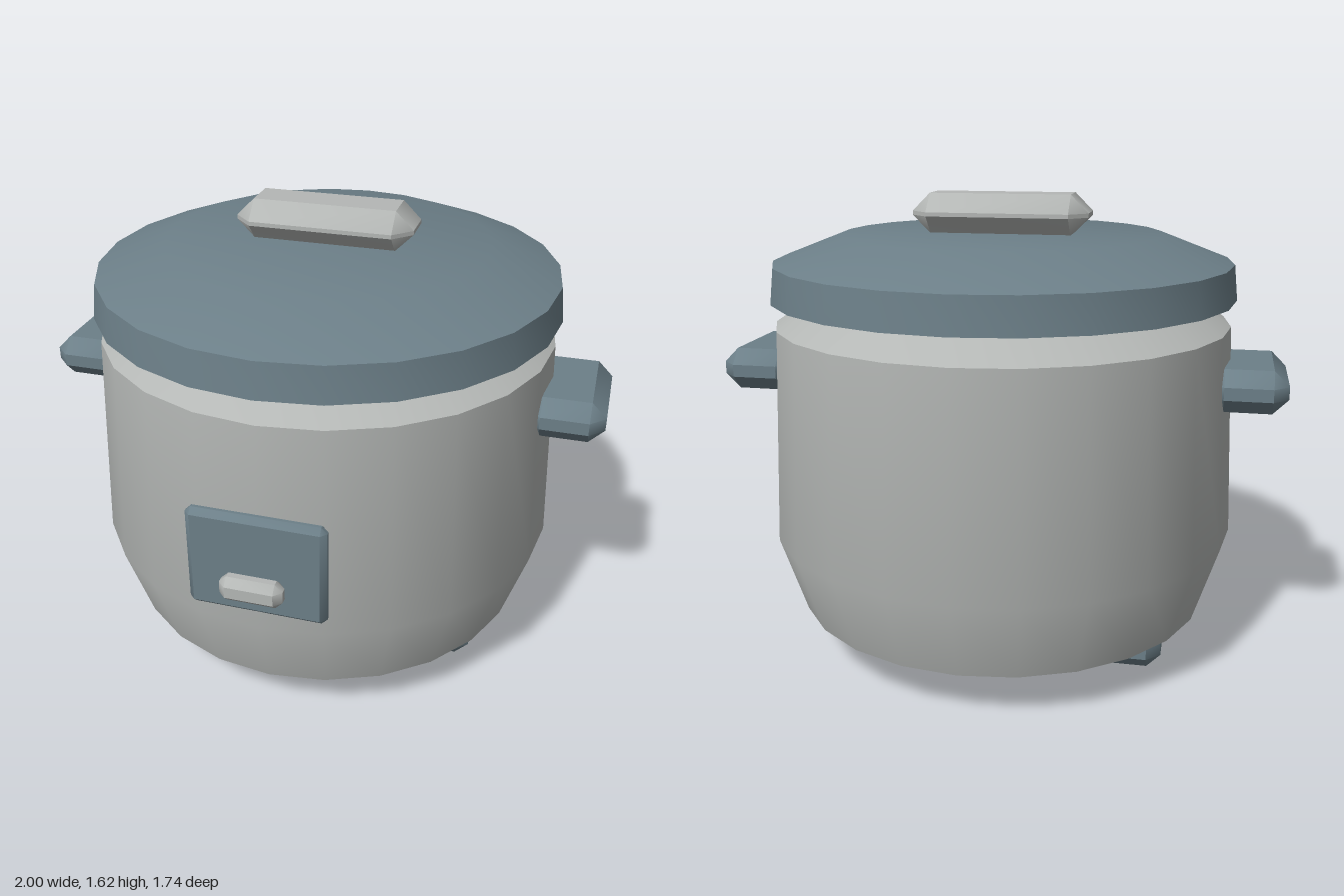
import * as THREE from 'three';
import { toCreasedNormals } from 'three/addons/utils/BufferGeometryUtils.js';
import { ConvexGeometry } from 'three/addons/geometries/ConvexGeometry.js';

const CENTRE_Z = -0.04;
const shell = new THREE.MeshStandardMaterial({ color: 0xcccccc });
shell.color.set(0xb4b7b5);
const trim = new THREE.MeshStandardMaterial({ color: 0x6c7f88 });

// Turned part with 24 sides, smooth apart from its sharp rims
function turned(name, profile, material) {
  const points = profile.map(([r, y]) => new THREE.Vector2(r, y));
  const mesh = new THREE.Mesh(toCreasedNormals(new THREE.LatheGeometry(points, 24), 0.6), material);
  mesh.name = name;
  mesh.position.z = CENTRE_Z;
  return mesh;
}

// Box with every edge cut by a bevel, given by its two opposite corners
function bevelledBox(name, min, max, bevel, material) {
  const half = max.map((m, i) => (m - min[i]) / 2);
  const points = [];
  for (let axis = 0; axis < 3; axis++) {
    for (const sx of [-1, 1]) for (const sy of [-1, 1]) for (const sz of [-1, 1]) {
      const c = [sx, sy, sz].map((s, i) => s * (half[i] - (i === axis ? 0 : bevel)));
      points.push(new THREE.Vector3(...c));
    }
  }
  const mesh = new THREE.Mesh(toCreasedNormals(new ConvexGeometry(points), 0.7), material);
  mesh.name = name;
  mesh.position.set(...max.map((m, i) => (m + min[i]) / 2));
  return mesh;
}

export function createModel() {
  const model = new THREE.Group();
  model.name = 'riceCooker';

  // Pot with tapered base and sloping shoulder
  model.add(turned('body', [
    [0, 0.163], [0.74, 0.163], [0.83, 0.44], [0.8, 1.18], [0.66, 1.275], [0.6, 1.3],
  ], shell));

  // Overhanging lid
  model.add(turned('lid', [
    [0, 1.272], [0.815, 1.272], [0.802, 1.393], [0.56, 1.487], [0, 1.487],
  ], trim));
  model.add(bevelledBox('lidHandle', [-0.308, 1.485, -0.163], [0.308, 1.623, 0.083], 0.062, shell));

  // Side handles and runner feet, mirrored
  for (const side of [1, -1]) {
    const label = side > 0 ? 'left' : 'right';
    const handle = bevelledBox(`${label}Handle`, [0.735, 0.92, -0.255], [1, 1.068, 0.175], 0.052, trim);
    const foot = bevelledBox(`${label}Foot`, [0.373, 0, -0.345], [0.617, 0.168, 0.27], 0.048, trim);
    handle.position.x *= side;
    foot.position.x *= side;
    model.add(handle, foot);
  }

  // Control panel and its switch
  model.add(bevelledBox('controlPanel', [-0.233, 0.503, 0.752], [0.233, 0.872, 0.803], 0.02, trim));
  model.add(bevelledBox('switch', [-0.105, 0.583, 0.798], [0.105, 0.673, 0.87], 0.025, shell));

  return model;
}
